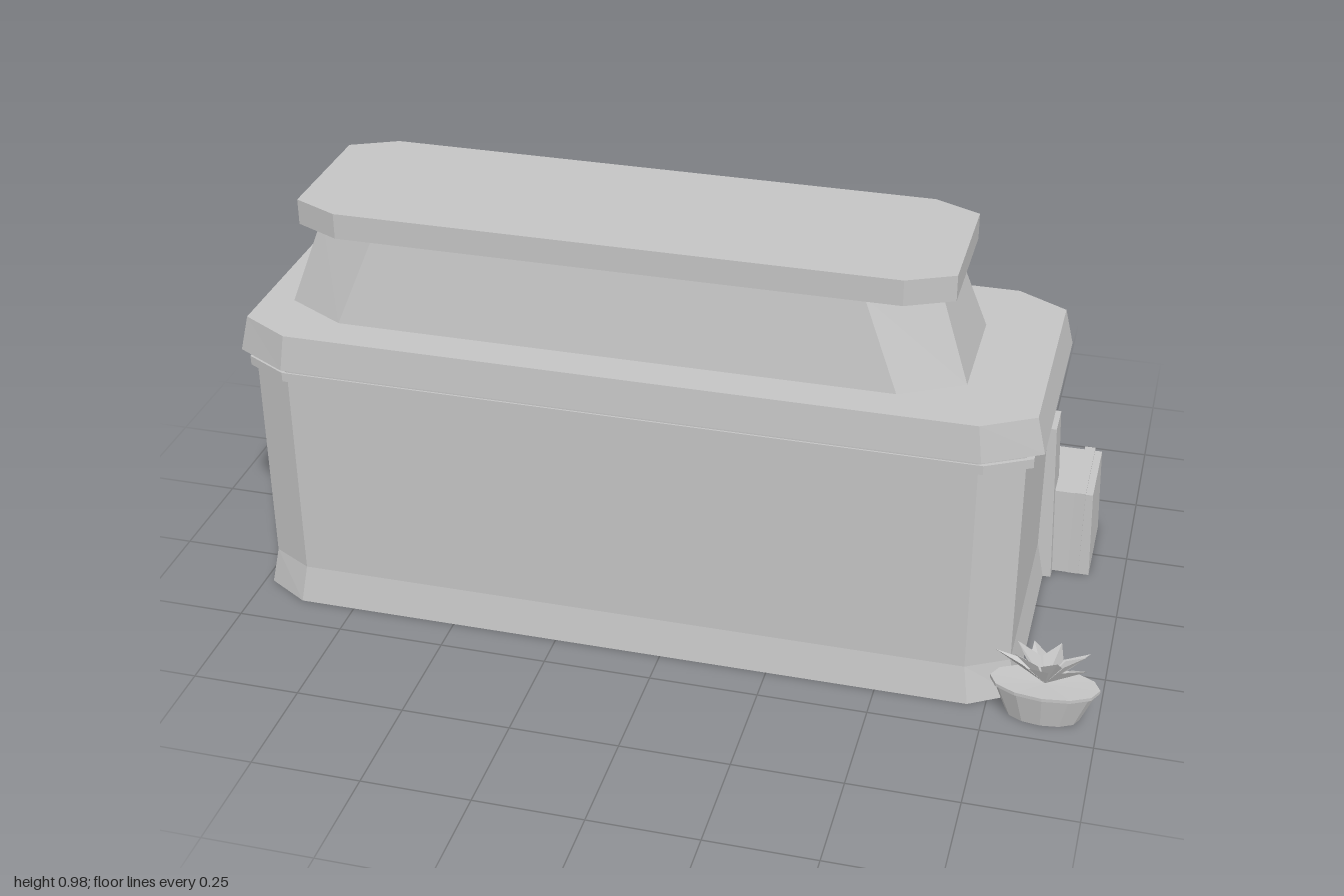
import * as THREE from 'three';

const stone = new THREE.MeshStandardMaterial({ color: 0xc4c4c4, flatShading: true, side: THREE.DoubleSide });
stone.name = 'grey stone';

const CX = -0.085, CZ = 0.095; // centre of the building

// Stack of chamfered rectangles; each ring is [y, halfX, halfZ, cutX, cutZ]
function loft(rings, bottom = true, top = true) {
  const pos = [];
  const loops = rings.map(([y, hx, hz, cx, cz]) => [
    [hx, y, cz - hz], [hx, y, hz - cz], [hx - cx, y, hz], [cx - hx, y, hz],
    [-hx, y, hz - cz], [-hx, y, cz - hz], [cx - hx, y, -hz], [hx - cx, y, -hz],
  ]);
  const tri = (...p) => p.forEach((v) => pos.push(...v));
  const last = loops.length - 1;
  for (let i = 0; i < 8; i++) {
    const j = (i + 1) % 8;
    for (let k = 0; k < last; k++) {
      const [a, b, c, d] = [loops[k][i], loops[k][j], loops[k + 1][j], loops[k + 1][i]];
      tri(a, d, c);
      tri(a, c, b);
    }
    if (bottom) tri([0, rings[0][0], 0], loops[0][i], loops[0][j]);
    if (top) tri([0, rings[last][0], 0], loops[last][j], loops[last][i]);
  }
  const g = new THREE.BufferGeometry();
  g.setAttribute('position', new THREE.Float32BufferAttribute(pos, 3));
  g.computeVertexNormals();
  return g;
}

const outline = (points) => new THREE.Shape(points.map(([x, y]) => new THREE.Vector2(x, y)));

// Flat octagonal panel facing +z
function octagon(w, y0, y1, cx, cy) {
  return new THREE.ShapeGeometry(outline([[-w + cx, y0], [w - cx, y0], [w, y0 + cy], [w, y1 - cy],
    [w - cx, y1], [-w + cx, y1], [-w, y1 - cy], [-w, y0 + cy]]));
}

// Box without its underside
function openBox(w, h, d) {
  const g = new THREE.BoxGeometry(w, h, d);
  const index = Array.from(g.index.array);
  index.splice(18, 6);
  g.setIndex(index);
  g.clearGroups();
  return g;
}

export function createModel() {
  const root = new THREE.Group();
  const add = (name, geo, x = 0, y = 0, z = 0, parent = root) => {
    const m = new THREE.Mesh(geo, stone);
    m.name = name;
    m.position.set(x, y, z);
    parent.add(m);
    return m;
  };
  // Open-bottomed box given by its limits
  const box = (name, x0, x1, y0, y1, z0, z1, parent = root) =>
    add(name, openBox(x1 - x0, y1 - y0, z1 - z0),
      (x0 + x1) / 2, (y0 + y1) / 2, (z0 + z1) / 2, parent);

  // Building: flared hollow foot, walls, cornice, eave, upper storey, cap
  add('foot', loft([[0, 0.895, 0.32, 0.1, 0.06], [0.09, 0.877, 0.305, 0.095, 0.052]], false, false), CX, 0, CZ);
  add('walls', loft([[0.09, 0.877, 0.305, 0.095, 0.052], [0.63, 0.877, 0.305, 0.095, 0.052]]), CX, 0, CZ);
  add('cornice', loft([[0.595, 0.893, 0.309, 0.1, 0.055], [0.617, 0.893, 0.309, 0.1, 0.055]]), CX, 0, CZ);
  add('eave', loft([[0.63, 0.914, 0.321, 0.125, 0.07], [0.715, 0.894, 0.313, 0.115, 0.066]]), CX, 0, CZ);
  add('upperStorey', loft([[0.715, 0.775, 0.217, 0.14, 0.078], [0.92, 0.703, 0.184, 0.15, 0.08]]),
    CX - 0.047, 0, 0.103);
  add('cap', loft([[0.92, 0.74, 0.203, 0.105, 0.05], [0.98, 0.74, 0.203, 0.105, 0.05]]), CX - 0.044, 0, 0.103);

  // Side windows
  for (const s of [-1, 1]) {
    const w = add('sideWindow', octagon(0.06, 0.263, 0.47, 0.02, 0.03), CX + s * 0.879, 0, 0.092);
    w.rotation.y = s * Math.PI / 2;
  }

  // Entrance at the back
  const entrance = new THREE.Group();
  entrance.name = 'entrance';
  entrance.position.set(CX, 0, -0.212);
  entrance.rotation.y = Math.PI;
  root.add(entrance);
  add('doorPanel', octagon(0.335, 0.09, 0.615, 0.125, 0.09), 0, 0, 0, entrance);
  add('doorHood', new THREE.ExtrudeGeometry(outline([[-0.33, 0.492], [-0.315, 0.477], [-0.2, 0.587],
    [0.2, 0.587], [0.315, 0.477], [0.33, 0.492], [0.21, 0.61], [-0.21, 0.61]]),
  { depth: 0.013, bevelEnabled: false }), 0, 0, 0.013, entrance);
  box('doorHandle', -0.1, -0.058, 0.307, 0.332, 0, 0.009, entrance);

  // Hollow terrace and steps
  add('terrace', loft([[0, 0.555, 0.1, 0.055, 0.035], [0.12, 0.555, 0.1, 0.055, 0.035]], false), CX, 0, -0.25);
  box('step', CX - 0.333, CX + 0.333, 0, 0.12, -0.385, -0.345);
  box('step', CX - 0.35, CX + 0.35, 0, 0.08, -0.427, -0.345);
  box('step', CX - 0.35, CX + 0.35, 0, 0.04, -0.47, -0.345);

  // Tapered corner piers
  const pier = (h, w, d, topW, topD) =>
    loft([[0, w, d, 0.001, 0.001], [h, topW, topD, 0.001, 0.001]], false);
  for (const s of [-1, 1]) {
    add('cornerPier', pier(0.403, 0.082, 0.06, 0.065, 0.044), CX + s * 0.832, 0, -0.187);
  }
  add('lowPier', pier(0.38, 0.08, 0.05, 0.068, 0.046), 0.625, 0, -0.199);

  // Slightly tapered crates with a raised band near each end
  function crate(x0, x1, h, z0, z1) {
    const g = new THREE.Group();
    g.name = 'crate';
    root.add(g);
    const hx = (x1 - x0) / 2, hz = (z1 - z0) / 2;
    add('crateBody', loft([[0, hx, hz - 0.001, 0.001, 0.001], [h - 0.005, hx - 0.008, hz - 0.006, 0.001, 0.001]],
      false), (x0 + x1) / 2, 0, (z0 + z1) / 2, g);
    for (const x of [x0 + 0.025, x1 - 0.05]) box('crateBand', x, x + 0.025, 0, h, z0, z1, g);
  }
  crate(0.568, 0.917, 0.228, -0.375, -0.157);
  crate(-0.893, -0.573, 0.186, -0.41, -0.25);

  // Oval pot with spiky plant
  const pot = new THREE.Group();
  pot.name = 'pottedPlant';
  pot.position.set(0.877, 0, 0.41);
  pot.scale.z = 0.5;
  root.add(pot);
  add('pot', new THREE.LatheGeometry([[0, 0], [0.082, 0], [0.115, 0.08], [0.121, 0.08], [0.121, 0.088],
    [0, 0.085]].map(([x, y]) => new THREE.Vector2(x, y)), 12), 0, 0, 0, pot);
  for (let i = 0; i < 10; i++) {
    const r = i % 2 ? 0.113 : 0.085, h = i % 2 ? 0.072 : 0.085;
    const leaf = new THREE.BufferGeometry();
    leaf.setAttribute('position', new THREE.Float32BufferAttribute([
      0, 0, 0, r * 0.45, h * 0.68, 0.024, r, h, 0,
      0, 0, 0, r, h, 0, r * 0.45, h * 0.68, -0.024], 3));
    leaf.computeVertexNormals();
    add('leaf', leaf, 0, 0.086, 0, pot).rotation.y = i * Math.PI / 5;
  }
  return root;
}
